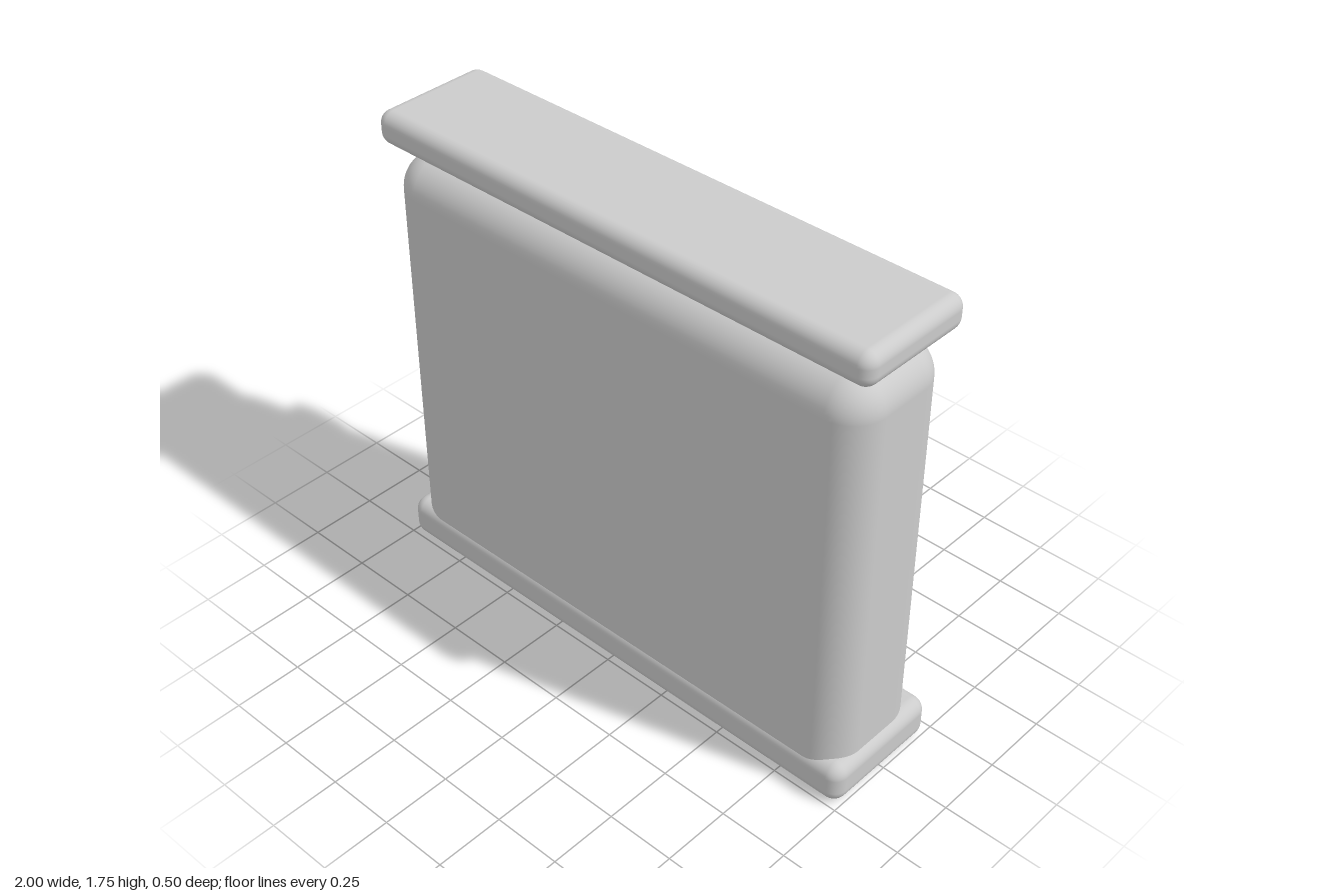
import * as THREE from 'three';
import { RoundedBoxGeometry } from 'three/addons/geometries/RoundedBoxGeometry.js';

const material = new THREE.MeshStandardMaterial({ color: 0xcccccc });

// Rounded box given by its extents on each axis
function slab(name, [x0, x1], [y0, y1], [z0, z1], radius, segments = 5) {
  const geometry = new RoundedBoxGeometry(x1 - x0, y1 - y0, z1 - z0, segments, radius);
  const mesh = new THREE.Mesh(geometry, material);
  mesh.position.set((x0 + x1) / 2, (y0 + y1) / 2, (z0 + z1) / 2);
  mesh.name = name;
  return mesh;
}

export function createModel() {
  const model = new THREE.Group();
  model.name = 'slimCase';

  // Main housing, foot and floating top cap
  model.add(
    slab('body', [-0.975, 0.975], [0.02, 1.6], [-0.187, 0.24], 0.125, 8),
    slab('base', [-1, 1], [0, 0.155], [-0.225, 0.247], 0.05),
    slab('topCap', [-1, 1], [1.63, 1.75], [-0.2, 0.247], 0.045)
  );

  // Door on the back with its latch arm
  model.add(
    slab('backPanel', [-0.705, 0.68], [0.47, 1.345], [-0.24, -0.18], 0.022, 4),
    slab('latchArm', [-0.7, -0.34], [1.29, 1.37], [-0.249, -0.18], 0.018, 4)
  );

  // Round knob at the end of the latch
  const knob = new THREE.Mesh(new THREE.CylinderGeometry(0.11, 0.11, 0.062, 32), material);
  knob.rotation.x = Math.PI / 2;
  knob.position.set(-0.705, 1.33, -0.22);
  knob.name = 'latchKnob';
  model.add(knob);

  return model;
}
